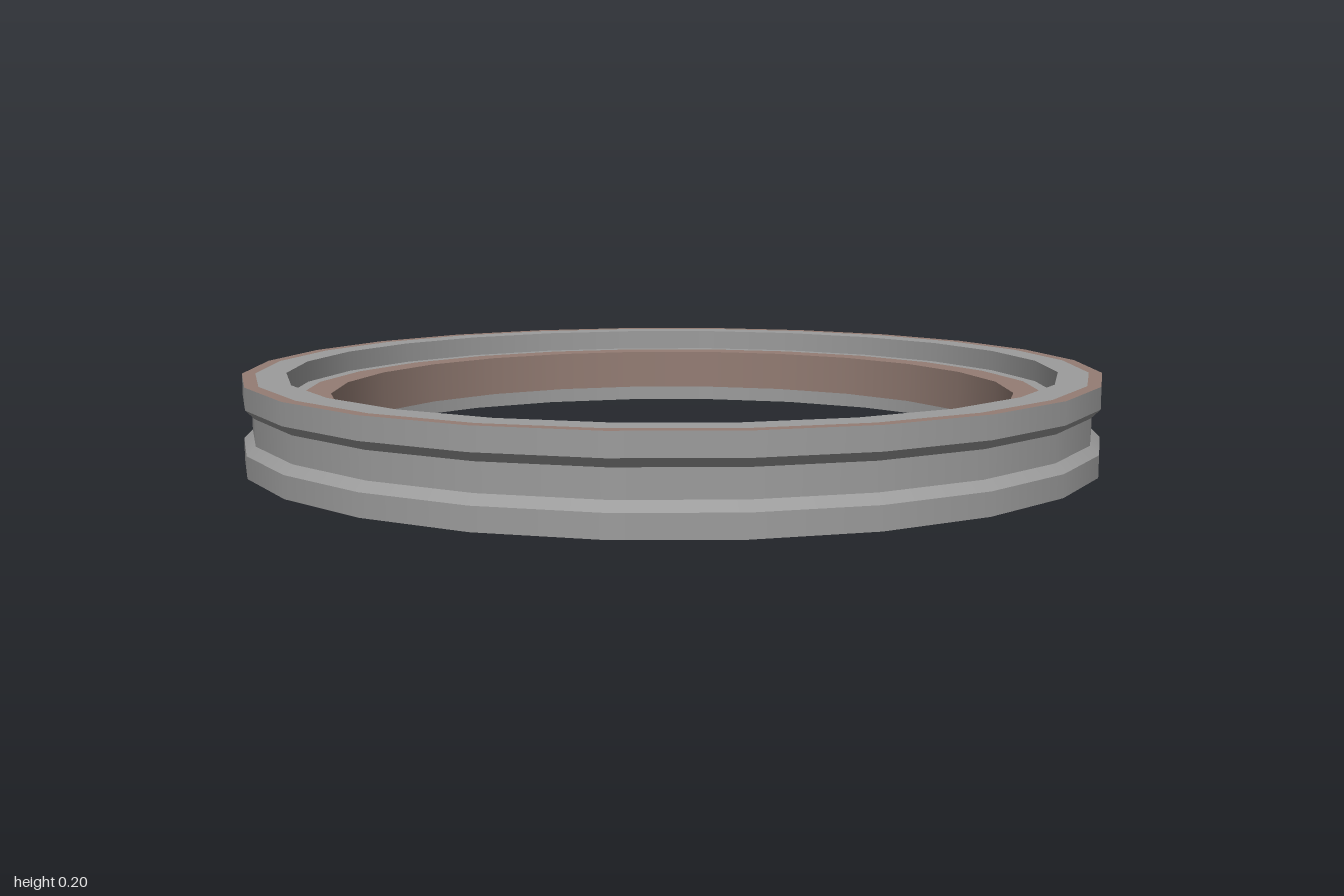
import * as THREE from 'three';
import { mergeGeometries } from 'three/addons/utils/BufferGeometryUtils.js';

const SIDES = 24;

// Each pair of neighbouring [radius, y] points becomes one smooth band,
// so edges between bands stay sharp.
function bands(points) {
  const parts = [];
  for (let i = 0; i < points.length - 1; i++) {
    const pair = [points[i], points[i + 1]].map(([r, y]) => new THREE.Vector2(r, y));
    parts.push(new THREE.LatheGeometry(pair, SIDES));
  }
  return mergeGeometries(parts);
}

export function createModel() {
  const group = new THREE.Group();
  const grey = new THREE.MeshStandardMaterial({ color: 0x9c9c9c });
  grey.name = 'grey';
  const brown = new THREE.MeshStandardMaterial({ color: 0x947d74 });
  brown.name = 'brown';

  const add = (name, material, points) => {
    const mesh = new THREE.Mesh(bands(points), material);
    mesh.name = name;
    group.add(mesh);
  };

  // Grooved outer band, from the lower inner step round to the upper rim
  add('outerBand', grey, [
    [0.9, 0.05], [0.9, 0], [1, 0], [1, 0.05], [0.98, 0.07],
    [0.98, 0.13], [1, 0.15], [1, 0.2],
  ]);
  // Thin coloured edge around the top
  add('rimEdge', brown, [[1, 0.2], [0.97, 0.2]]);
  // Top face, inner wall and the start of the ledge
  add('topRim', grey, [[0.97, 0.2], [0.9, 0.2], [0.9, 0.15], [0.87, 0.15]]);
  // Inner ring: ledge, inside wall and underside
  add('innerRing', brown, [[0.87, 0.15], [0.8, 0.15], [0.8, 0.05], [0.9, 0.05]]);

  return group;
}
